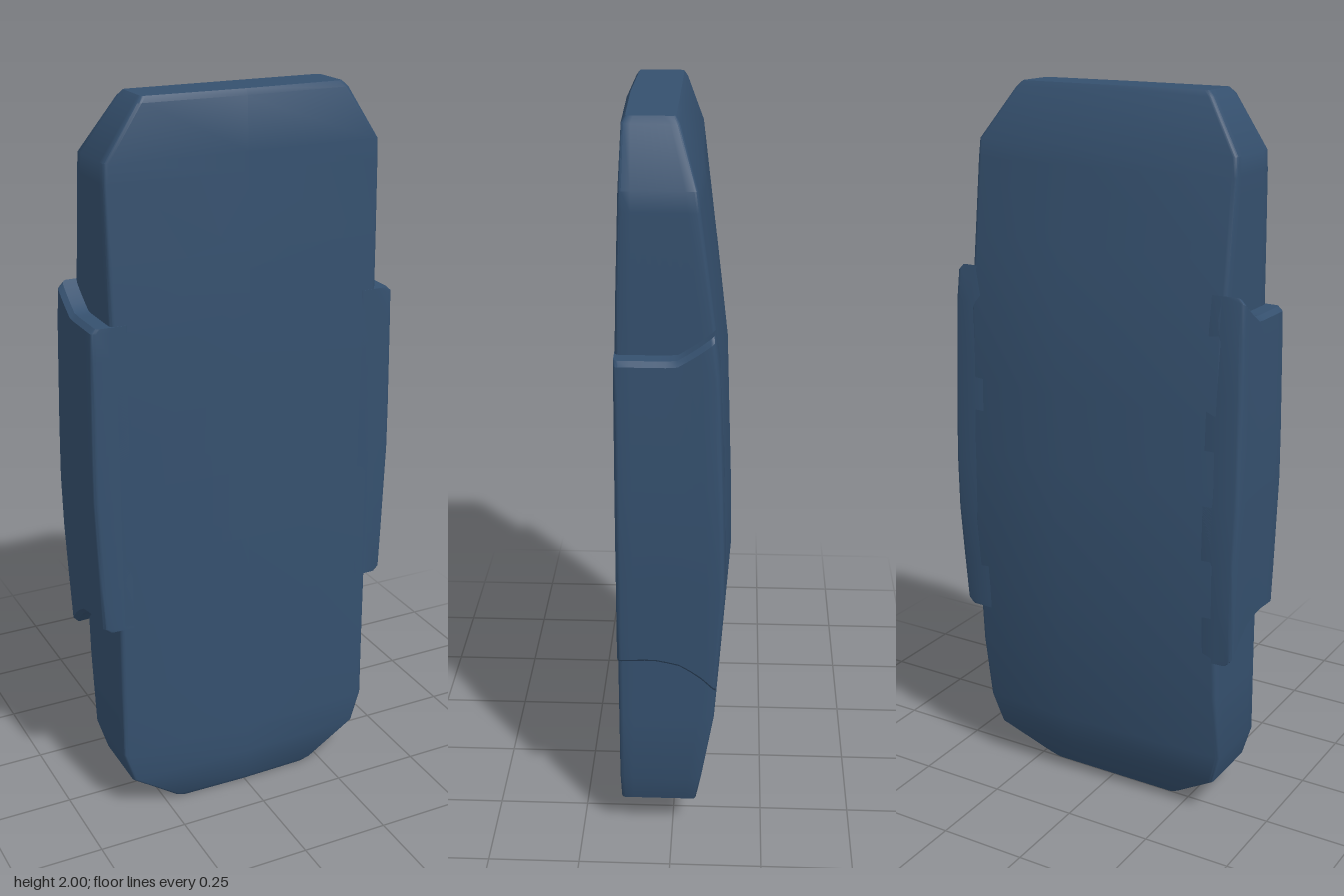
import * as THREE from 'three';
import { toCreasedNormals } from 'three/addons/utils/BufferGeometryUtils.js';

const material = new THREE.MeshStandardMaterial({ color: 0x35506e });

// Piecewise-linear profile lookup over [position, value] keys
function lookup(keys, p) {
  if (p <= keys[0][0]) return keys[0][1];
  for (let i = 1; i < keys.length; i++) {
    const [p0, v0] = keys[i - 1], [p1, v1] = keys[i];
    if (p <= p1) return v0 + (v1 - v0) * (p - p0) / (p1 - p0);
  }
  return keys[keys.length - 1][1];
}

// Profiles by height: half width of the core, front and back depth
const HALF = [[0, .2], [.014, .222], [.11, .355], [.2, .382], [.5, .38], [1.8, .382], [1.85, .38], [1.985, .29], [2, .275]];
const FRONT = [[0, .125], [.014, .134], [.12, .15], [.6, .15], [1.45, .145], [1.985, .125], [2, .115]];
const BACK = [[0, 0], [.014, -.01], [.1, -.07], [.4, -.125], [.8, -.153], [1, -.149], [1.4, -.135], [1.85, -.07], [1.985, -.02], [2, -.01]];
// Side panel: outer edge by height, and its end edges from back (0) to front (1)
const OUTER = [[.5, .425], [.6, .43], [1, .442], [1.45, .434], [1.52, .43]];
const LOWER = [[0, .51], [.2, .56], [.4, .592], [.65, .605], [1, .6]];
const UPPER = [[0, 1.515], [.2, 1.48], [.4, 1.45], [1, 1.45]];

// Point on the shell: w runs from the crowned back (0) to the front (1)
function place(x, y, w) {
  const b = lookup(BACK, y), f = lookup(FRONT, y);
  const crown = (x > .1 ? (x - .1) * .044 : (.1 - x) * .05) * Math.min(1, -b / .14);
  const front = f - Math.abs(x) * .022;
  return new THREE.Vector3(x, y, b + crown + (front - b - crown) * w);
}

// Rounded rectangular ring as [x, w], from the back centre round by +x
function ring(x0, x1, backX, r = .012) {
  const rw = r / .27;
  const side = (edge, s) => {
    const pts = [];
    for (let i = 0; i <= 3; i++) {
      const a = i * Math.PI / 6;
      pts.push([edge - s * r * (1 - Math.sin(a)), rw * (1 - Math.cos(a))]);
    }
    for (let i = 1; i < 8; i++) pts.push([edge, rw + (1 - 2 * rw) * i / 8]);
    for (let i = 3; i >= 0; i--) {
      const a = i * Math.PI / 6;
      pts.push([edge - s * r * (1 - Math.sin(a)), 1 - rw * (1 - Math.cos(a))]);
    }
    return pts;
  };
  return [[backX, 0], ...side(x1, 1), [(x0 + x1) / 2, 1], ...side(x0, -1).reverse()];
}

// Skin rings from bottom to top and close both ends
function loft(name, rings) {
  const n = rings[0].length, pos = [], index = [];
  rings.forEach(r => r.forEach(p => pos.push(p.x, p.y, p.z)));
  for (let j = 0; j < rings.length - 1; j++) {
    for (let i = 0; i < n; i++) {
      const k = (i + 1) % n;
      const a = j * n + i, b = j * n + k, c = b + n, d = a + n;
      index.push(a, d, c, a, c, b);
    }
  }
  const top = (rings.length - 1) * n;
  const cap = (a, b, c) => {
    if (a === b || b === c || a === c) return;
    index.push(top + a, top + b, top + c, a, c, b);
  };
  for (let i = 0; i < n / 2; i++) {
    const m = (n - i) % n;
    cap(i, m, n - i - 1);
    cap(i, n - i - 1, i + 1);
  }
  const g = new THREE.BufferGeometry();
  g.setAttribute('position', new THREE.Float32BufferAttribute(pos, 3));
  g.setIndex(index);
  const mesh = new THREE.Mesh(toCreasedNormals(g, .62), material);
  mesh.name = name;
  return mesh;
}

export function createModel() {
  const group = new THREE.Group();
  group.name = 'armouredSlab';

  // Central slab with cut corners
  const heights = [0, .014, .11, .2, .4, .6, .8, 1, 1.2, 1.4, 1.6, 1.8, 1.85, 1.985, 2];
  group.add(loft('coreSlab', heights.map(y => {
    const h = lookup(HALF, y);
    return ring(-h, h, .1).map(([x, w]) => place(x, y, w));
  })));

  // Raised side panels with curved ends
  for (const s of [1, -1]) {
    const steps = [0, .014, .15, .3, .45, .6, .75, .9, .986, 1];
    group.add(loft(s > 0 ? 'leftSidePanel' : 'rightSidePanel', steps.map((t, i) => {
      const inset = i === 0 || i === steps.length - 1 ? .012 : 0;
      const outer = lookup(OUTER, .55 + t * .93) - inset;
      const [x0, x1] = s > 0 ? [.33, outer] : [-outer, -.33];
      return ring(x0, x1, (x0 + x1) / 2).map(([x, w]) => {
        const lo = lookup(LOWER, w), hi = lookup(UPPER, w);
        return place(x, lo + (hi - lo) * t, w);
      });
    })));
  }
  return group;
}
